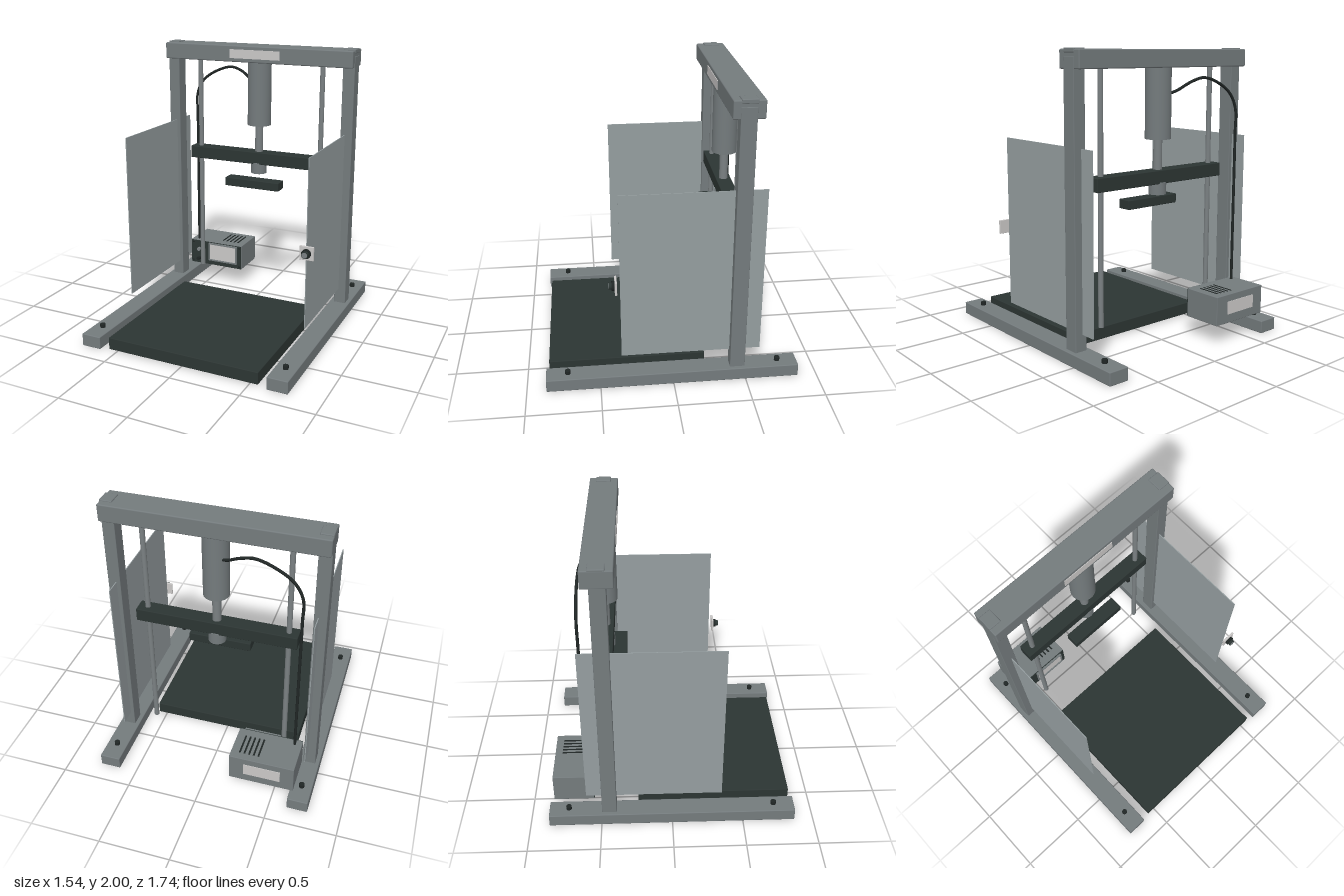
import * as THREE from 'three';
import { RoundedBoxGeometry } from 'three/addons/geometries/RoundedBoxGeometry.js';

const mat = (name, color, extra = {}) => {
  const m = new THREE.MeshStandardMaterial({ color, ...extra });
  m.name = name;
  return m;
};

export function createModel() {
  const root = new THREE.Group();
  root.name = 'benchPress';
  const frame = mat('frameGrey', 0x747b7d);
  const dark = mat('darkGreen', 0x2c3533);
  const sheet = mat('guardSheet', 0x959ea0, { side: THREE.DoubleSide });
  const pale = mat('paleGrey', 0xcac8c7);
  const steel = mat('steel', 0x7a8082);
  const black = mat('rubberBlack', 0x202625);

  const add = (name, geo, material, x = 0, y = 0, z = 0) => {
    const m = new THREE.Mesh(geo, material);
    m.name = name;
    m.position.set(x, y, z);
    root.add(m);
    return m;
  };
  // box given by its limits on each axis, optionally with softened edges
  const box = (name, material, [x0, x1], [y0, y1], [z0, z1], r = 0) => {
    const s = [x1 - x0, y1 - y0, z1 - z0];
    const geo = r ? new RoundedBoxGeometry(...s, 2, r) : new THREE.BoxGeometry(...s);
    return add(name, geo, material, (x0 + x1) / 2, (y0 + y1) / 2, (z0 + z1) / 2);
  };
  // upright cylinder between two heights
  const rod = (name, material, r, y0, y1, x, z) =>
    add(name, new THREE.CylinderGeometry(r, r, y1 - y0, 32), material, x, (y0 + y1) / 2, z);
  // cylinder pointing forward between two depths
  const knob = (name, material, r, z0, z1, x, y) => {
    const m = add(name, new THREE.CylinderGeometry(r, r, z1 - z0, 24), material, x, y, (z0 + z1) / 2);
    m.rotation.x = Math.PI / 2;
    return m;
  };
  const span = (c, half) => [c - half, c + half];

  // mirrored frame, guards and guide rods
  for (const s of [-1, 1]) {
    box('footRail', frame, span(s * 0.697, 0.073), [0, 0.09], [-0.868, 0.868], 0.006);
    box('post', frame, span(s * 0.698, 0.043), [0.085, 1.95], [-0.495, -0.392], 0.004);
    box('postCap', frame, span(s * 0.698, 0.043), [1.97, 2], [-0.5, -0.395], 0.006);
    box('sideGuard', sheet, span(s * 0.684, 0.003), [0.2, 1.39], [-0.605, 0.35]);
    rod('guideRod', steel, 0.018, 0.19, 1.88, s * 0.492, -0.44);
    for (const z of [-0.73, 0.72]) rod('footBolt', black, 0.019, 0.085, 0.115, s * 0.697, z);
  }

  // top beam with its plate
  box('crossBeam', frame, [-0.742, 0.738], [1.872, 1.992], [-0.548, -0.345], 0.008);
  box('beamPlate', pale, [-0.2, 0.195], [1.9, 1.965], [-0.346, -0.341]);

  // press ram
  rod('cylinderBody', frame, 0.088, 1.4, 1.88, 0, -0.442);
  rod('pistonRod', steel, 0.03, 1.18, 1.41, 0, -0.442);
  box('pressCrosshead', dark, [-0.56, 0.56], [1.1, 1.193], [-0.495, -0.387], 0.005);
  rod('ramFoot', frame, 0.06, 1.025, 1.11, 0, -0.442);
  box('pressBar', dark, [-0.22, 0.218], [0.932, 0.996], [-0.4, -0.3], 0.005);
  box('basePlate', dark, [-0.562, 0.56], [0.008, 0.095], [-0.24, 0.85], 0.005);

  // control box
  box('controlBox', frame, [-0.655, -0.197], [0.142, 0.345], [-0.832, -0.552], 0.004);
  box('controlFront', dark, [-0.652, -0.2], [0.146, 0.341], [-0.556, -0.546]);
  box('screen', pale, [-0.478, -0.242], [0.194, 0.328], [-0.546, -0.54]);
  for (const y of [0.19, 0.332]) box('screenBezel', frame, [-0.488, -0.232], span(y, 0.005), [-0.55, -0.53]);
  for (const x of [-0.483, -0.237]) box('screenBezel', frame, span(x, 0.005), [0.185, 0.337], [-0.55, -0.53]);
  knob('controlKnob', steel, 0.015, -0.55, -0.525, -0.58, 0.27);
  knob('controlSwitch', black, 0.014, -0.55, -0.515, -0.58, 0.19);
  for (const x of [-0.635, -0.215])
    for (const y of [0.165, 0.325]) knob('controlScrew', black, 0.007, -0.55, -0.542, x, y);
  for (let i = 0; i < 5; i++)
    box('ventSlot', black, span(-0.392 + i * 0.033, 0.006), [0.343, 0.347], [-0.78, -0.615]);
  box('rearPlate', pale, [-0.56, -0.3], [0.205, 0.295], [-0.836, -0.831]);
  for (const x of [-0.59, -0.262])
    for (const z of [-0.775, -0.61]) rod('boxFoot', black, 0.014, 0.13, 0.145, x, z);

  // hose from the cylinder to the control box
  const path = new THREE.CatmullRomCurve3([
    [-0.05, 1.7, -0.49], [-0.1, 1.72, -0.515], [-0.19, 1.775, -0.555], [-0.29, 1.803, -0.575],
    [-0.41, 1.772, -0.585], [-0.54, 1.69, -0.59], [-0.6, 1.58, -0.592],
    [-0.603, 1.4, -0.592], [-0.603, 0.8, -0.592], [-0.603, 0.34, -0.592],
  ].map((p) => new THREE.Vector3(...p)));
  add('hose', new THREE.TubeGeometry(path, 80, 0.01, 12), black);

  // stop button
  box('buttonPlate', pale, [0.648, 0.746], [0.71, 0.806], [0.371, 0.386], 0.003);
  knob('buttonCollar', black, 0.032, 0.385, 0.405, 0.697, 0.758);
  knob('buttonCap', dark, 0.023, 0.4, 0.425, 0.697, 0.758);
  knob('buttonFace', steel, 0.019, 0.424, 0.428, 0.697, 0.758);

  return root;
}
